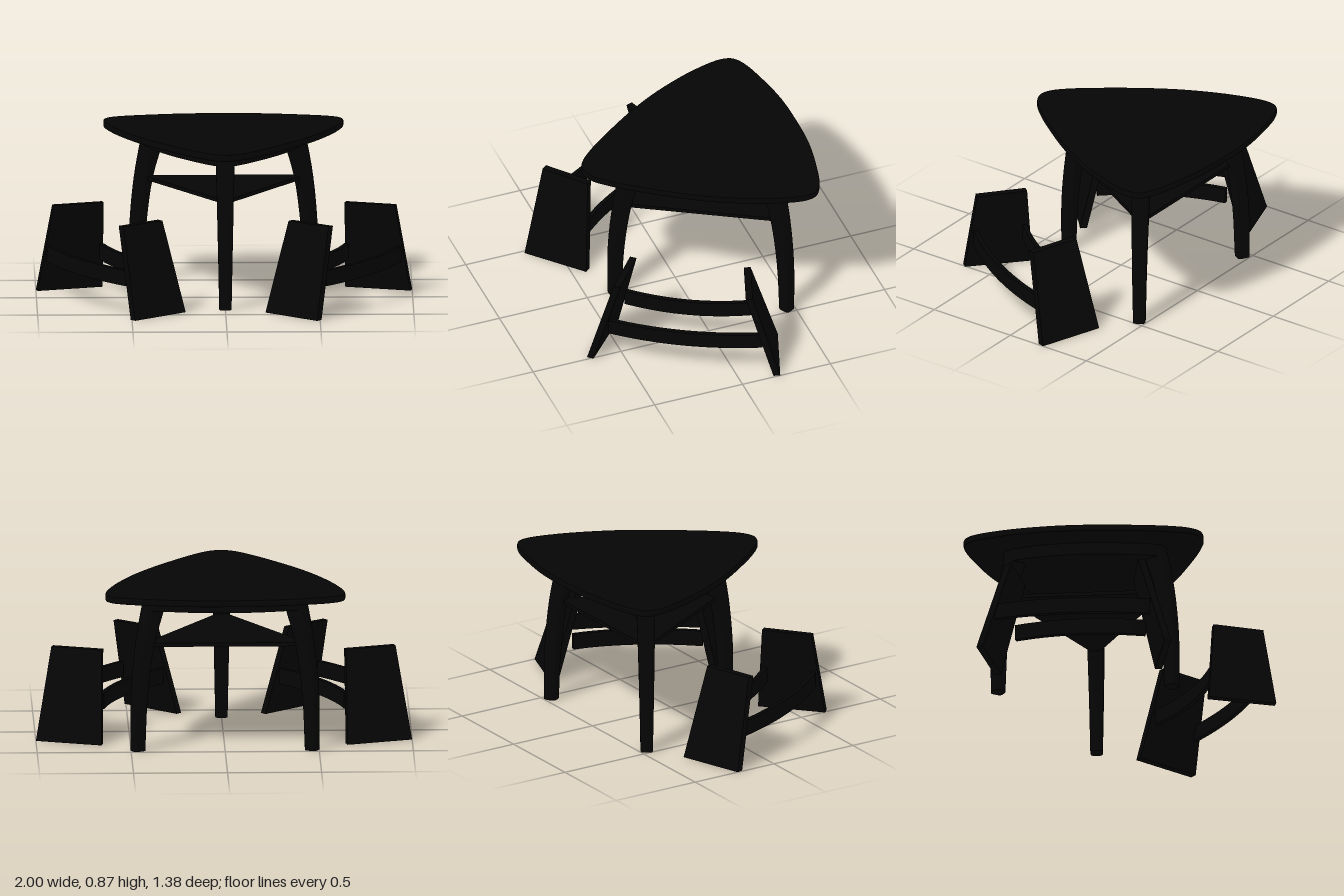
import * as THREE from 'three';
import { toCreasedNormals } from 'three/addons/utils/BufferGeometryUtils.js';
import { ConvexGeometry } from 'three/addons/geometries/ConvexGeometry.js';

const black = new THREE.MeshStandardMaterial({ color: 0x050505 });
black.name = 'black';

function part(name, geometry) {
  const mesh = new THREE.Mesh(geometry, black);
  mesh.name = name;
  return mesh;
}

// Horizontal slab from an outline of [x, z] points, between heights y0 and y1
function slab(outline, y0, y1, bevel = 0) {
  const shape = new THREE.Shape(outline.map(([x, z]) => new THREE.Vector2(x, -z)));
  const geo = new THREE.ExtrudeGeometry(shape, {
    depth: y1 - y0 - 2 * bevel, bevelEnabled: bevel > 0, bevelThickness: bevel,
    bevelSize: bevel, bevelOffset: -bevel, bevelSegments: 2,
  });
  geo.rotateX(-Math.PI / 2).translate(0, y0 + bevel, 0);
  return toCreasedNormals(geo, 0.6);
}

// Rounded triangular outline shared by the top and the apron
function topOutline() {
  const half = [[0.2, -0.683], [0.4, -0.65], [0.56, -0.607], [0.62, -0.567], [0.638, -0.505],
    [0.6, -0.33], [0.5, -0.09], [0.4, 0.085], [0.29, 0.245], [0.15, 0.425], [0.065, 0.505]];
  const mirrored = half.map(([x, z]) => [-x, z]).reverse();
  const pts = [[0, -0.69], ...half, [0, 0.527], ...mirrored];
  const curve = new THREE.CatmullRomCurve3(
    pts.map(([x, z]) => new THREE.Vector3(x, 0, z)), true, 'centripetal');
  return curve.getPoints(120).slice(0, -1).map((p) => [p.x, p.z]);
}

// Curved, tapering leg that splays along local +z: [y, distance, depth, width]
function legGeometry() {
  const curve = (i) => new THREE.CatmullRomCurve3([
    [0, 0.535, 0.07, 0.066], [0.3, 0.526, 0.08, 0.078], [0.57, 0.492, 0.09, 0.09],
    [0.765, 0.442, 0.112, 0.1], [0.83, 0.424, 0.116, 0.102],
  ].map((s) => new THREE.Vector3(s[0], s[i], s[i + 1] ?? 0)));
  const path = curve(1), widths = curve(3);
  const rings = 16, sides = 24, pos = [], index = [];
  for (let j = 0; j <= rings; j++) {
    const a = path.getPoint(j / rings), w = widths.getPoint(j / rings).y;
    for (let i = 0; i < sides; i++) {
      const t = (i / sides) * Math.PI * 2, c = Math.cos(t), s = Math.sin(t);
      const round = (v) => Math.sign(v) * Math.pow(Math.abs(v), 0.55) / 2;
      pos.push(round(s) * w, a.x, a.y + round(c) * a.z);
      if (j < rings) {
        const p = j * sides + i, q = j * sides + (i + 1) % sides;
        index.push(p, q, p + sides, q, q + sides, p + sides);
      }
    }
  }
  // end caps
  const last = rings * sides;
  for (let i = 1; i < sides - 1; i++) {
    index.push(0, i + 1, i, last, last + i, last + i + 1);
  }
  const geo = new THREE.BufferGeometry();
  geo.setAttribute('position', new THREE.Float32BufferAttribute(pos, 3));
  geo.setIndex(index);
  return toCreasedNormals(geo, 0.7);
}

// Bowed rail through three [x, z] points
function railGeometry(pts) {
  const curve = new THREE.QuadraticBezierCurve(...pts.map(([x, z], i) => i === 1
    ? new THREE.Vector2(2 * x - (pts[0][0] + pts[2][0]) / 2, 2 * z - (pts[0][1] + pts[2][1]) / 2)
    : new THREE.Vector2(x, z)));
  const n = 24, a = [], b = [];
  for (let i = 0; i <= n; i++) {
    const p = curve.getPoint(i / n), t = curve.getTangent(i / n);
    a.push([p.x - t.y * 0.012, p.y + t.x * 0.012]);
    b.unshift([p.x + t.y * 0.012, p.y - t.x * 0.012]);
  }
  return slab([...a, ...b], 0.168, 0.253);
}

// Leaning board: outer bottom and top edges, plus the [x, z] offset to its inner face
function panelGeometry(bottom, top, offset, side) {
  const pts = [];
  [[bottom, 0], [top, 0.485]].forEach(([edge, y]) => edge.forEach(([x, z]) => {
    pts.push(new THREE.Vector3(side * x, y, z),
      new THREE.Vector3(side * (x + offset[0]), y, z + offset[1]));
  }));
  return new ConvexGeometry(pts);
}

function stool(side) {
  const group = new THREE.Group();
  group.name = side > 0 ? 'leftStool' : 'rightStool';
  const flip = (pts) => pts.map(([x, z]) => [side * x, z]);
  group.add(
    part('rearPanel', panelGeometry([[0.655, -0.333], [1, -0.215]],
      [[0.65, -0.18], [0.915, -0.09]], [-0.01, 0.035], side)),
    part('frontPanel', panelGeometry([[0.212, 0.44], [0.483, 0.687]],
      [[0.335, 0.385], [0.545, 0.56]], [0.024, -0.028], side)),
    part('innerRail', railGeometry(flip([[0.65, -0.2], [0.528, 0.12], [0.315, 0.405]]))),
    part('outerRail', railGeometry(flip([[0.932, -0.14], [0.768, 0.24], [0.525, 0.575]]))),
  );
  if (side < 0) group.position.z = -0.015;
  return group;
}

export function createModel() {
  const model = new THREE.Group();
  model.name = 'tableWithStools';

  const table = new THREE.Group();
  table.name = 'table';
  const outline = topOutline();
  table.add(part('tableTop', slab(outline, 0.83, 0.868, 0.007)));
  table.add(part('apron', slab(outline.map(([x, z]) => [x * 0.685, z * 0.685 - 0.057]), 0.763, 0.832)));

  // three legs set around one centre, joined by a thin triangular shelf
  const centre = -0.19, leg = legGeometry(), corners = [];
  ['frontLeg', 'rearLeftLeg', 'rearRightLeg'].forEach((name, i) => {
    const angle = (i * 2 * Math.PI) / 3;
    const mesh = part(name, leg);
    mesh.position.z = centre;
    mesh.rotation.y = angle;
    table.add(mesh);
    corners.push([Math.sin(angle) * 0.5, centre + Math.cos(angle) * 0.5]);
  });
  table.add(part('shelf', slab(corners, 0.56, 0.58)));

  model.add(table, stool(1), stool(-1));
  return model;
}
